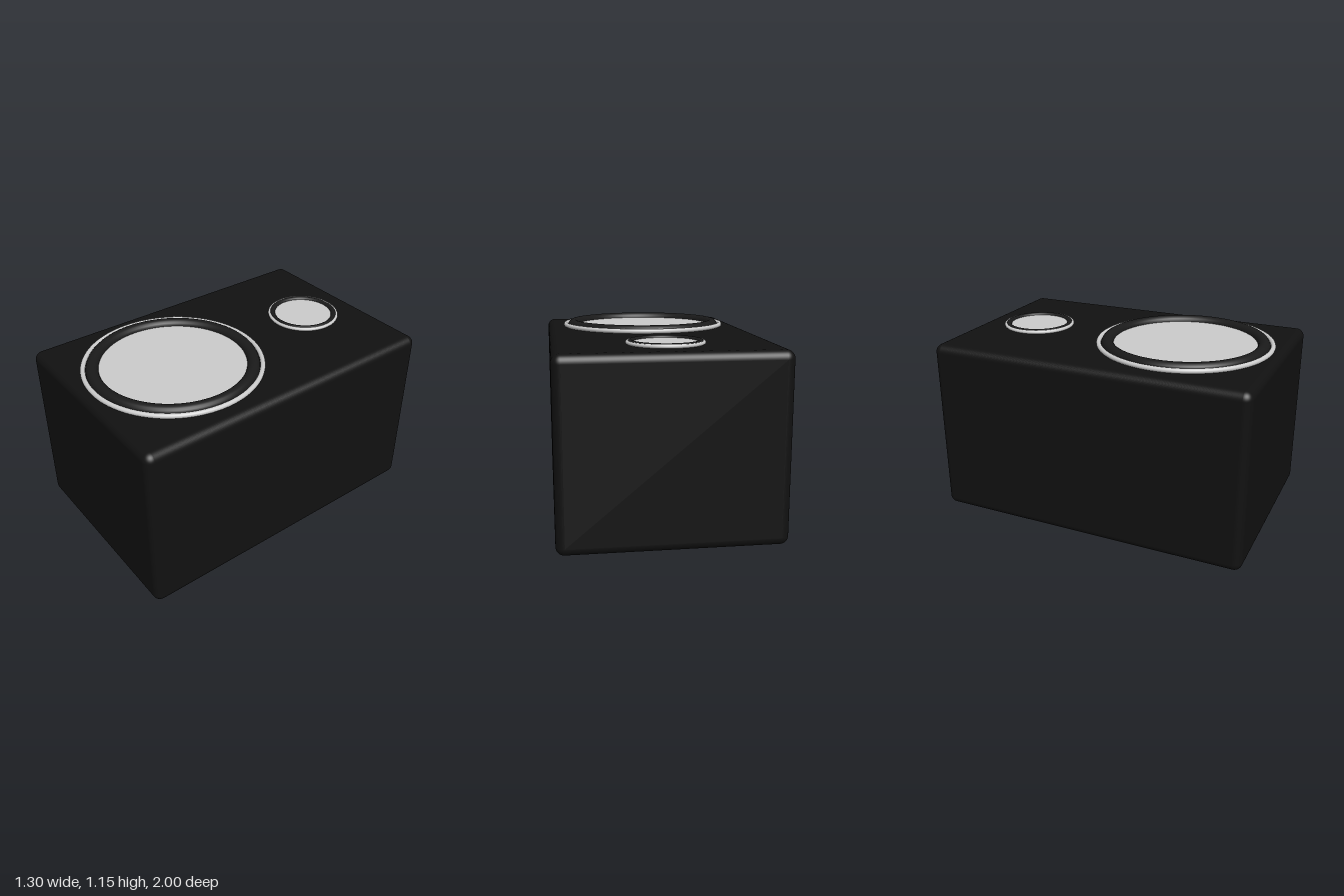
import * as THREE from 'three';
import { RoundedBoxGeometry } from 'three/addons/geometries/RoundedBoxGeometry.js';

const TOP = 1.1; // height of the baffle the drivers sit on

const cabinetMat = new THREE.MeshStandardMaterial({ color: 0x111111 });
const rubberMat = new THREE.MeshStandardMaterial({ color: 0x1a1a1a });
const greyMat = new THREE.MeshStandardMaterial({ color: 0xcccccc });

function addMesh(parent, name, geometry, material, y) {
  const mesh = new THREE.Mesh(geometry, material);
  mesh.name = name;
  mesh.position.y = y;
  parent.add(mesh);
}

const flatTorus = (radius, tube) => new THREE.TorusGeometry(radius, tube, 20, 96).rotateX(Math.PI / 2);

// One driver: bright trim ring, soft rubber surround and a flat diaphragm
function createDriver(name, z, { trimR, trimTube, surroundR, surroundTube, lift, coneR }) {
  const driver = new THREE.Group();
  driver.name = name;
  driver.position.set(0, TOP, z);
  addMesh(driver, 'trimRing', flatTorus(trimR, trimTube), greyMat, trimTube);
  addMesh(driver, 'surround', flatTorus(surroundR, surroundTube), rubberMat, lift);
  addMesh(driver, 'diaphragm', new THREE.CylinderGeometry(coneR, coneR, 0.02, 96), greyMat, lift - 0.006);
  return driver;
}

export function createModel() {
  const model = new THREE.Group();
  model.name = 'loudspeaker';

  // Cabinet lying on its back, drivers facing up
  addMesh(model, 'cabinet', new RoundedBoxGeometry(1.3, TOP, 2, 6, 0.05), cabinetMat, TOP / 2);

  model.add(createDriver('woofer', 0.4, {
    trimR: 0.53, trimTube: 0.015, surroundR: 0.476, surroundTube: 0.038, lift: 0.01, coneR: 0.442,
  }));
  model.add(createDriver('tweeter', -0.625, {
    trimR: 0.217, trimTube: 0.011, surroundR: 0.2, surroundTube: 0.018, lift: 0.009, coneR: 0.186,
  }));
  return model;
}
